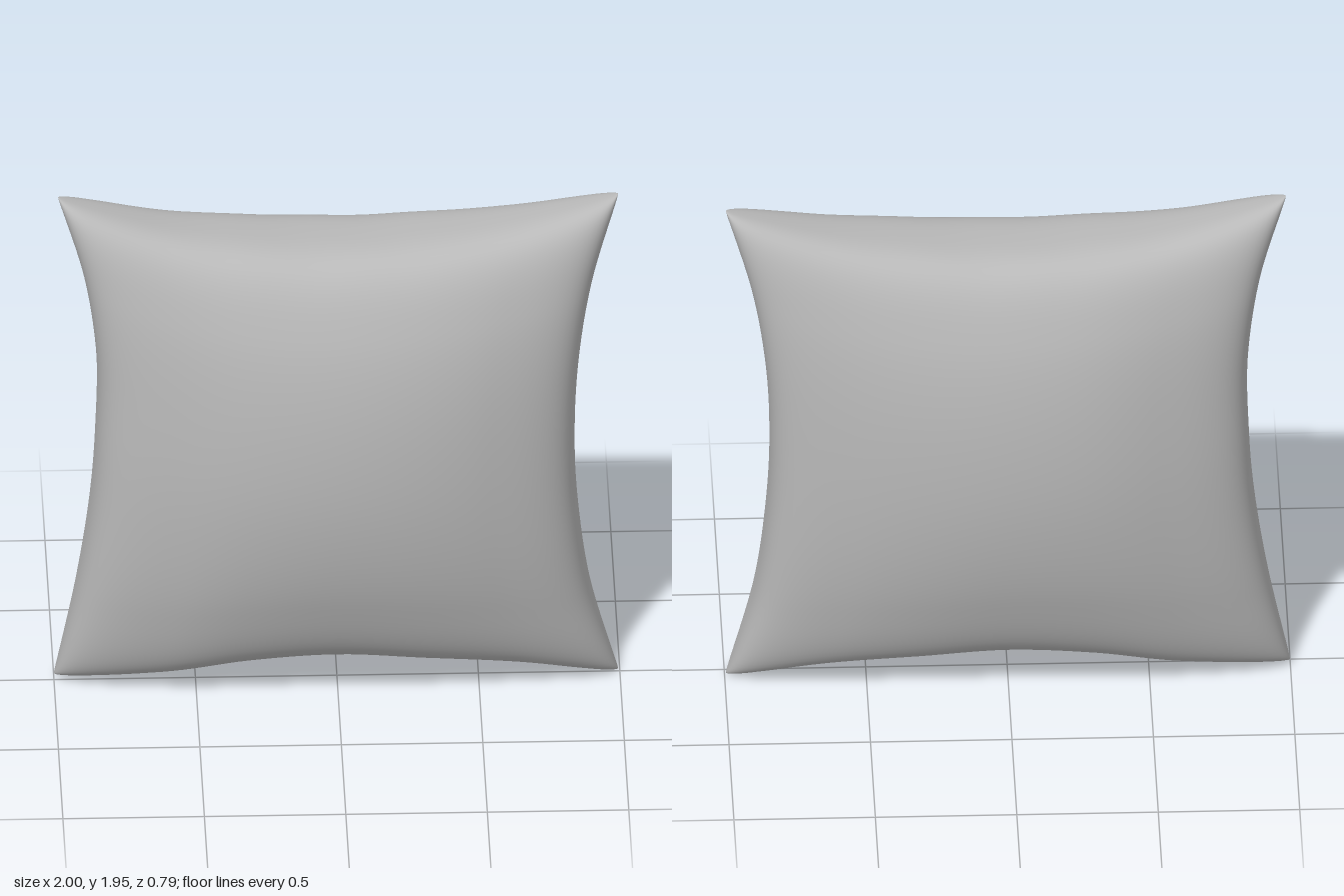
import * as THREE from 'three';
import { mergeVertices, mergeGeometries } from 'three/addons/utils/BufferGeometryUtils.js';

const N = 64, DEPTH = 0.41, SEAM_Z = -0.02;

// Seam outlines, each running at even steps from corner to corner
const spline = (pts) => new THREE.SplineCurve(pts.map(([x, y]) => new THREE.Vector2(x, y)));
const bottom = spline([[-1, 0.02], [-0.62, 0.065], [-0.31, 0.125], [0, 0.15], [0.31, 0.125], [0.64, 0.085], [0.995, 0.005]]);
const top = spline([[-0.985, 1.95], [-0.62, 1.85], [-0.31, 1.81], [0, 1.795], [0.31, 1.81], [0.64, 1.85], [0.995, 1.93]]);
const left = spline([[-1, 0.02], [-0.925, 0.37], [-0.875, 0.7], [-0.853, 1.0], [-0.85, 1.32], [-0.895, 1.65], [-0.985, 1.95]]);
const right = spline([[0.995, 0.005], [0.9, 0.34], [0.855, 0.66], [0.84, 0.97], [0.855, 1.3], [0.905, 1.62], [0.995, 1.93]]);

// Blend the four seams into a point inside the cushion (s, t in 0..1)
function blend(s, t) {
  const b = bottom.getPoint(s), u = top.getPoint(s), l = left.getPoint(t), r = right.getPoint(t);
  const mix = (k) => {
    const corners = (1 - t) * ((1 - s) * bottom.points[0][k] + s * bottom.points[6][k])
      + t * ((1 - s) * top.points[0][k] + s * top.points[6][k]);
    return (1 - t) * b[k] + t * u[k] + (1 - s) * l[k] + s * r[k] - corners;
  };
  return [mix('x'), mix('y')];
}

// One puffed sheet of cloth; side is +1 for front, -1 for back
function sheet(side) {
  const g = new THREE.PlaneGeometry(2, 2, N, N);
  const p = g.attributes.position;
  for (let i = 0; i < p.count; i++) {
    // crowd the grid lines towards the seams
    const u = Math.sin(p.getX(i) * Math.PI / 2), v = Math.sin(p.getY(i) * Math.PI / 2);
    const [x, y] = blend((u + 1) / 2, (v + 1) / 2);
    const puff = Math.pow(Math.max(0, (1 - u * u) * (1 - v * v)), 0.38) * (1 - 0.2 * Math.pow(u * v, 4));
    // small gathers along the top seam
    const gather = 0.008 * Math.sin(x * 17) * Math.exp(-x * x * 6) * Math.exp((v - 1) * 16);
    const middle = SEAM_Z * (1 - puff) + gather;
    p.setXYZ(i, x, y, middle + side * (DEPTH - 0.013) * puff);
  }
  if (side < 0) {
    const a = g.index.array;
    for (let i = 0; i < a.length; i += 3) [a[i], a[i + 1]] = [a[i + 1], a[i]];
  }
  g.deleteAttribute('uv');
  g.deleteAttribute('normal');
  return g;
}

export function createModel() {
  const group = new THREE.Group();
  group.name = 'cushion';
  const fabric = new THREE.MeshStandardMaterial({ color: 0xb8b8b8 });
  fabric.name = 'grey fabric';

  // Weld both sheets along the seam for one smooth surface
  const geometry = mergeVertices(mergeGeometries([sheet(1), sheet(-1)]), 1e-4);
  geometry.computeVertexNormals();
  const cover = new THREE.Mesh(geometry, fabric);
  cover.name = 'cushionCover';
  group.add(cover);
  return group;
}
